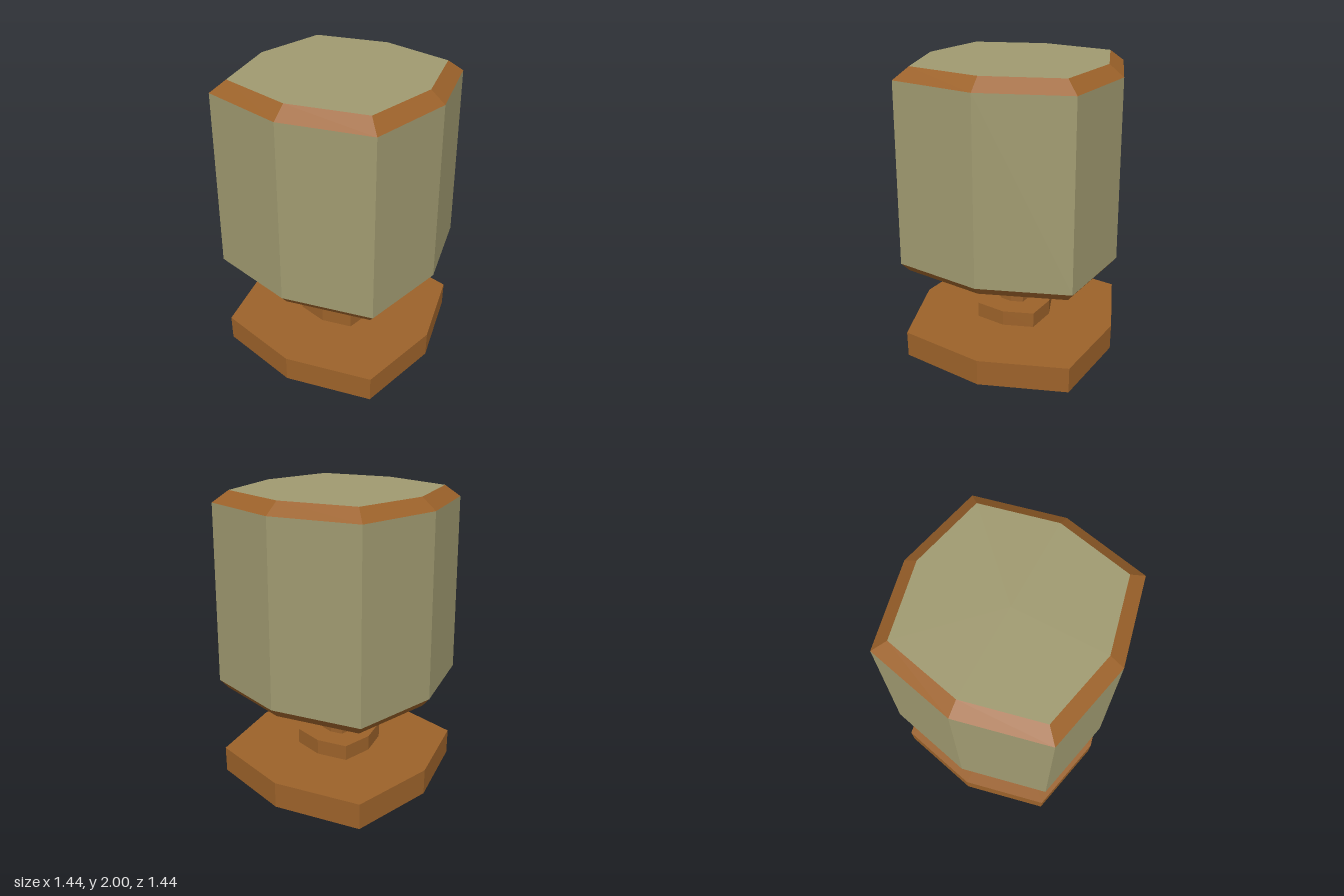
import * as THREE from 'three';

const wood = new THREE.MeshStandardMaterial({ color: 0x9c622a, flatShading: true });
const cloth = new THREE.MeshStandardMaterial({ color: 0xa09a70, flatShading: true });

// Eight-sided turned part; profile is [radius, y], and the diagonal corners are
// pushed outward so the plan is a square with slightly bowed sides.
function octagon(name, profile, material) {
  const geometry = new THREE.LatheGeometry(profile.map(([r, y]) => new THREE.Vector2(r, y)), 8);
  const pos = geometry.attributes.position;
  for (let i = 0; i < pos.count; i++) {
    const corner = Math.floor(i / profile.length);
    if (corner % 2 === 1) pos.setXYZ(i, pos.getX(i) * 1.153, pos.getY(i), pos.getZ(i) * 1.153);
  }
  geometry.computeVertexNormals();
  const mesh = new THREE.Mesh(geometry, material);
  mesh.name = name;
  return mesh;
}

// Solid straight-sided block
const block = (name, r, y0, y1) =>
  octagon(name, [[0, y0], [r, y0], [r, y1], [0, y1]], wood);

export function createModel() {
  const lamp = new THREE.Group();
  lamp.name = 'tableLamp';

  // Stand
  lamp.add(
    block('base', 0.712, 0, 0.182),
    block('collar', 0.255, 0.182, 0.29),
    block('stem', 0.103, 0.29, 1.9),
  );

  // Hollow shade: lining with bottom rim, bevelled trims, outer wall and lid
  const shade = new THREE.Group();
  shade.name = 'shade';
  shade.add(
    octagon('lining', [[0, 1.9], [0.53, 1.9], [0.55, 0.655], [0.67, 0.655]], cloth),
    octagon('lowerTrim', [[0.67, 0.655], [0.718, 0.715]], wood),
    octagon('shadeWall', [[0.718, 0.715], [0.697, 1.925]], cloth),
    octagon('upperTrim', [[0.697, 1.925], [0.603, 2]], wood),
    octagon('shadeTop', [[0.603, 2], [0, 2]], cloth),
  );
  lamp.add(shade);
  return lamp;
}
